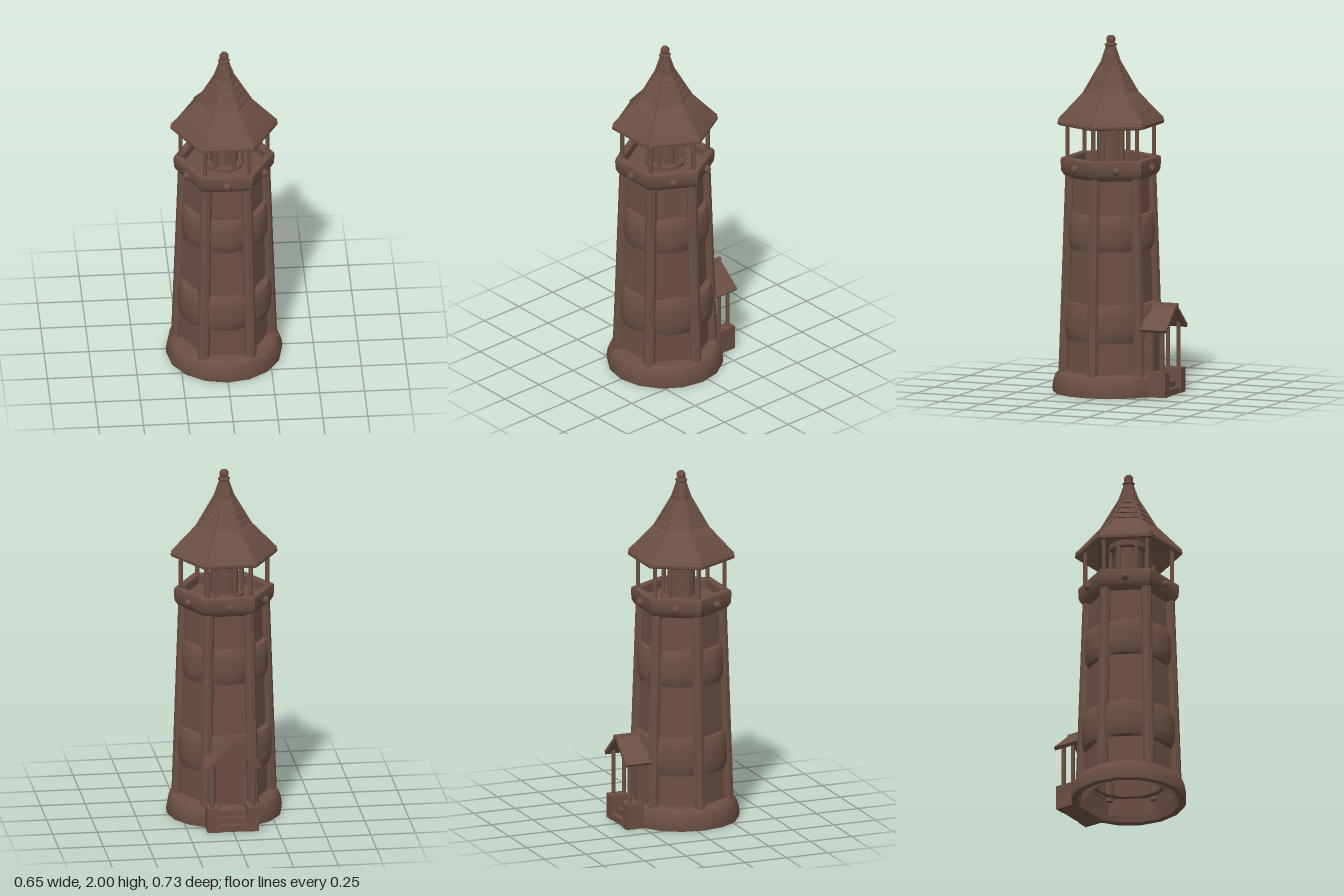
import * as THREE from 'three';
import { toCreasedNormals } from 'three/addons/utils/BufferGeometryUtils.js';

const brown = new THREE.MeshStandardMaterial({ color: 0x6b4f43, side: THREE.DoubleSide });
const V = (x, y, z) => new THREE.Vector3(x, y, z);

function add(parent, name, geometry, x = 0, y = 0, z = 0) {
  const mesh = new THREE.Mesh(toCreasedNormals(geometry, 0.6), brown);
  mesh.name = name;
  mesh.position.set(x, y, z);
  parent.add(mesh);
  return mesh;
}

// Lathe from [radius, y] pairs; six-sided ones have corners on the x axis
function turned(parent, name, profile, sides = 6) {
  const points = profile.map(([r, y]) => new THREE.Vector2(r, y));
  return add(parent, name, new THREE.LatheGeometry(points, sides, sides === 6 ? Math.PI / 6 : 0));
}

// Round bar between two points
function bar(parent, name, a, b, r0, r1 = r0, sides = 8) {
  const dir = b.clone().sub(a);
  const mesh = add(parent, name, new THREE.CylinderGeometry(r1, r0, dir.length(), sides));
  mesh.position.copy(a).addScaledVector(dir, 0.5);
  mesh.quaternion.setFromUnitVectors(V(0, 1, 0), dir.normalize());
  return mesh;
}

const around = (fn, offset = 0) => {
  for (let i = 0; i < 6; i++) fn(offset + i * Math.PI / 3);
};
const polar = (r, y, a) => V(Math.sin(a) * r, y, Math.cos(a) * r);

// Padded wall panel, bowed outwards in both directions
function panelGeometry(width, height, bow) {
  const g = new THREE.BoxGeometry(width, height, 0.06, 6, 6, 1);
  const p = g.attributes.position;
  for (let i = 0; i < p.count; i++) {
    const u = p.getX(i) / width * 2, v = p.getY(i) / height * 2;
    if (p.getZ(i) > 0) p.setZ(i, 0.03 + bow * (1 - u * u) - 0.016 * v ** 4);
    p.setX(i, p.getX(i) * (1 - 0.05 * v * v));
  }
  g.computeVertexNormals();
  return g;
}

function buildTower(tower) {
  turned(tower, 'base', [
    [0.265, 0.1], [0.285, 0], [0.322, 0], [0.325, 0.03], [0.318, 0.07], [0.305, 0.105], [0.285, 0.12], [0.2, 0.12],
  ], 16);
  turned(tower, 'walls', [[0.26, 0.02], [0.222, 1.24]]);

  // Leaning corner posts
  around(a => bar(tower, 'cornerPost', polar(0.262, 0.1, a), polar(0.226, 1.23, a), 0.034, 0.031), Math.PI / 6);

  // Two bands of padded panels
  [[0.405, 0.205, 0.21, 0.028], [0.91, 0.182, 0.2, 0.026]].forEach(([y, width, height, bow]) => {
    const inset = y < 0.6 ? 0.213 : 0.196;
    around(a => {
      const panel = add(tower, 'wallPanel', panelGeometry(width, height, bow));
      panel.position.copy(polar(inset, y, a));
      panel.rotation.y = a;
    });
  });
}

function buildGallery(tower) {
  turned(tower, 'gallery', [
    [0.2, 1.21], [0.24, 1.205], [0.262, 1.22], [0.278, 1.245], [0.282, 1.3], [0.278, 1.316],
    [0.268, 1.32], [0.24, 1.32], [0.233, 1.312], [0.233, 1.265], [0, 1.265],
  ]);
  around(a => {
    const stud = add(tower, 'stud', new THREE.SphereGeometry(0.023, 8, 6));
    stud.position.copy(polar(0.248, 1.265, a));
    stud.rotation.y = a;
  });
  around(a => {
    bar(tower, 'roofPost', polar(0.242, 1.29, a), polar(0.242, 1.53, a), 0.012);
    bar(tower, 'lanternBar', polar(0.1, 1.26, a), polar(0.1, 1.54, a), 0.011);
  }, Math.PI / 6);
  // Lantern core with its rings
  turned(tower, 'lantern', [[0.078, 1.26], [0.078, 1.56], [0, 1.56]], 12);
  turned(tower, 'lanternFoot', [[0.112, 1.26], [0.112, 1.285], [0.078, 1.285]], 12);
  turned(tower, 'lanternCap', [[0.07, 1.525], [0.112, 1.525], [0.112, 1.555], [0.07, 1.555]], 12);
}

function buildRoof(tower) {
  turned(tower, 'roof', [
    [0.04, 1.84], [0.14, 1.66], [0.275, 1.515], [0.285, 1.497], [0.298, 1.503], [0.3, 1.518],
    [0.285, 1.54], [0.215, 1.61], [0.153, 1.675], [0.14, 1.68], [0.05, 1.83], [0.052, 1.85],
    [0.034, 1.9], [0.02, 1.95],
  ]);
  // Overlapping louvres on the upper slope
  for (let i = 0; i < 4; i++) {
    const y = 1.685 + i * 0.04, r = 0.148 - i * 0.024;
    turned(tower, 'louvre', [[r - 0.02, y], [r, y], [r - 0.016, y + 0.028], [r - 0.035, y + 0.028]]);
  }
  // Ridge ribs
  around(a => {
    bar(tower, 'ridge', polar(0.291, 1.527, a), polar(0.152, 1.672, a), 0.009, 0.009, 6);
    bar(tower, 'ridge', polar(0.152, 1.672, a), polar(0.05, 1.85, a), 0.009, 0.008, 6);
    bar(tower, 'ridge', polar(0.05, 1.85, a), polar(0.018, 1.95, a), 0.008, 0.006, 6);
  }, Math.PI / 6);
  turned(tower, 'finial', [
    [0, 1.935], [0.03, 1.938], [0.035, 1.946], [0.03, 1.955], [0.02, 1.957],
    [0.025, 1.968], [0.025, 1.985], [0.016, 1.997], [0, 2],
  ]);
}

function buildPorch(porch) {
  // Gabled door surround against the back wall
  const shape = new THREE.Shape([[-0.085, 0.1], [0.085, 0.1], [0.085, 0.4], [0, 0.475], [-0.085, 0.4]]
    .map(([x, y]) => new THREE.Vector2(x, y)));
  shape.holes.push(new THREE.Path([[-0.055, 0.11], [-0.055, 0.35], [0.055, 0.35], [0.055, 0.11]]
    .map(([x, y]) => new THREE.Vector2(x, y))));
  add(porch, 'doorSurround', new THREE.ExtrudeGeometry(shape, { depth: 0.07, bevelEnabled: false }), 0, 0, -0.245);
  add(porch, 'door', new THREE.BoxGeometry(0.12, 0.26, 0.03), 0, 0.23, -0.215);

  for (const s of [-1, 1]) {
    add(porch, 'pedestal', new THREE.BoxGeometry(0.065, 0.14, 0.105), s * 0.112, 0.07, -0.2975);
    bar(porch, 'porchPost', V(s * 0.115, 0.13, -0.32), V(s * 0.115, 0.4, -0.32), 0.012);
    bar(porch, 'porchPost', V(s * 0.115, 0.13, -0.257), V(s * 0.115, 0.4, -0.257), 0.012);
    // Sloping roof board
    const board = add(porch, 'porchRoof', new THREE.BoxGeometry(0.197, 0.02, 0.16), s * 0.075, 0.435, -0.278);
    board.rotation.z = -s * 0.715;
  }
  bar(porch, 'porchRidge', V(0, 0.502, -0.19), V(0, 0.502, -0.365), 0.014);

  // Steps
  [[0.035, -0.345], [0.07, -0.315], [0.105, -0.285]].forEach(([h, z]) =>
    add(porch, 'step', new THREE.BoxGeometry(0.17, h, -0.22 - z), 0, h / 2, (z - 0.22) / 2));
}

export function createModel() {
  const model = new THREE.Group();
  model.name = 'lighthouse';
  const tower = new THREE.Group();
  tower.name = 'tower';
  tower.position.z = 0.04;
  const porch = new THREE.Group();
  porch.name = 'porch';
  model.add(tower, porch);
  buildTower(tower);
  buildGallery(tower);
  buildRoof(tower);
  buildPorch(porch);
  return model;
}
